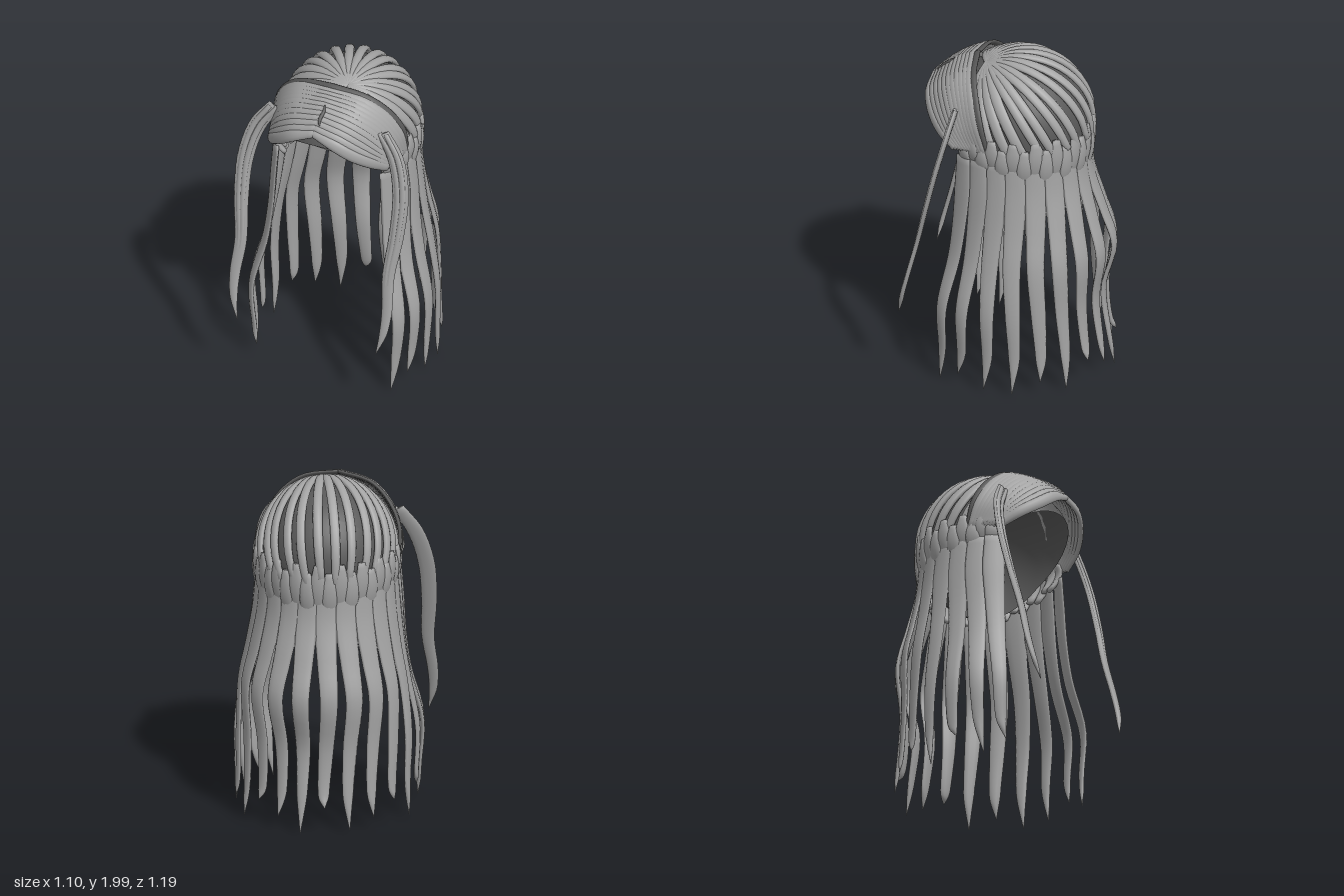
import * as THREE from 'three';

const V = (x, y, z) => new THREE.Vector3(x, y, z);
const lerp = THREE.MathUtils.lerp;
const rad = THREE.MathUtils.degToRad;
const CENTER = V(0, 1.55, -0.02);
const CAP = V(0.38, 0.405, 0.4);

// Linear lookup in a short list of values
function sample(list, t) {
  const f = t * (list.length - 1), i = Math.min(Math.floor(f), list.length - 2);
  return lerp(list[i], list[i + 1], f - i);
}

// Closed flattened strand swept along points; outward(p) gives its thin direction
function strand(points, widths, thick, outward, rings = 18) {
  const curve = new THREE.CatmullRomCurve3(points);
  const sides = 10, pos = [], idx = [];
  for (let r = -1; r <= rings + 1; r++) {
    const t = THREE.MathUtils.clamp(r / rings, 0, 1);
    const end = r < 0 || r > rings;
    const p = curve.getPoint(t), tan = curve.getTangent(t);
    const side = outward(p).cross(tan).normalize();
    const out = tan.clone().cross(side).normalize();
    const w = end ? 0 : sample(widths, t);
    const h = end ? 0 : Math.min(thick, w * 0.8);
    for (let j = 0; j < sides; j++) {
      const a = (j / sides) * Math.PI * 2;
      const q = p.clone().addScaledVector(side, w * Math.cos(a)).addScaledVector(out, h * Math.sin(a));
      pos.push(q.x, q.y, q.z);
    }
  }
  for (let r = 0; r < rings + 2; r++) {
    for (let j = 0; j < sides; j++) {
      const a = r * sides + j, b = r * sides + (j + 1) % sides;
      idx.push(a, b, a + sides, b, b + sides, a + sides);
    }
  }
  const g = new THREE.BufferGeometry();
  g.setAttribute('position', new THREE.Float32BufferAttribute(pos, 3));
  g.setIndex(idx);
  g.computeVertexNormals();
  return g;
}

// Point around the head: angle 0 is the back, positive goes to the left side.
// In front of the ears the outline is fuller, to stay clear of the face.
function around(a, r, y) {
  const s = Math.sin(a), full = Math.cos(a) < 0 ? Math.sign(s) * Math.sqrt(Math.abs(s)) : s;
  return V(full * r, y, -Math.cos(a) * r - 0.015);
}
const fromHead = p => p.clone().sub(CENTER).divide(CAP).normalize();
const fromAxis = p => V(p.x, 0, p.z + 0.015).normalize();

// Fringe path on side s: t = 0 is next to the crown, t = 1 is the front edge
function fringePath(t, s) {
  const bow = Math.sin(t * Math.PI) * 0.025;
  return [
    V(-0.004, lerp(1.935, 1.775, t) + bow, lerp(0.272, 0.495, t)),
    V(lerp(0.2, 0.13, t), lerp(1.895, 1.73, t) + bow, lerp(0.246, 0.5, t)),
    V(lerp(0.32, 0.23, t), lerp(1.8, 1.66, t) + bow, lerp(0.2, 0.46, t)),
    V(lerp(0.39, 0.32, t), lerp(1.67, 1.585, t), lerp(0.15, 0.38, t)),
    V(lerp(0.4, 0.37, t), lerp(1.52, 1.51, t), lerp(0.1, 0.28, t)),
  ].map(p => V(p.x * s, p.y, p.z));
}

export function createModel() {
  const model = new THREE.Group();
  const hair = new THREE.MeshStandardMaterial({ color: 0xa3a3a3 });
  hair.name = 'hairGrey';
  const dark = new THREE.MeshStandardMaterial({ color: 0x585858, side: THREE.DoubleSide });
  dark.name = 'capGrey';
  const section = name => {
    const g = new THREE.Group();
    g.name = name;
    model.add(g);
    return g;
  };
  const add = (parent, name, geometry, material = hair) => {
    const m = new THREE.Mesh(geometry, material);
    m.name = name;
    parent.add(m);
  };

  // Scalp cap: tilted open dome, its brow pushed forward to line the fringe
  const dome = new THREE.SphereGeometry(1, 40, 24, 0, Math.PI * 2, 0, rad(115));
  dome.rotateX(rad(-42)).scale(CAP.x, CAP.y, CAP.z).translate(CENTER.x, CENTER.y, CENTER.z);
  const dp = dome.attributes.position;
  for (let i = 0; i < dp.count; i++) {
    dp.setZ(i, dp.getZ(i) + 0.38 * Math.max(0, dp.getZ(i) - 0.1));
  }
  dome.computeVertexNormals();
  add(model, 'scalpCap', dome, dark);

  // Crown strands fanning back from the whorl with the cap showing between them
  const crown = section('crown');
  const whorl = V(0.07, 0.37, 0.18).divide(CAP).normalize();
  const crownAngles = [];
  for (let a = -60; a <= 60; a += 12) crownAngles.push(a);
  for (let a = 72; a <= 115; a += 12) crownAngles.push(a, -a);
  crownAngles.forEach((deg, i) => {
    const a = rad(deg), low = i % 2 ? -0.14 : -0.06;
    const tip = V(Math.sin(a), low, -Math.cos(a)).normalize();
    const total = whorl.angleTo(tip), pts = [];
    for (let k = 0; k <= 6; k++) {
      const t = k / 6;
      const d = whorl.clone().multiplyScalar(Math.sin((1 - t) * total))
        .addScaledVector(tip, Math.sin(t * total)).divideScalar(Math.sin(total));
      pts.push(d.multiplyScalar(1.065).multiply(CAP).add(CENTER));
    }
    const w = Math.abs(deg) > 60 ? 0.033 : 0.028;
    add(crown, 'crownStrand', strand(pts, [0.016, 0.026, w, w, w, w * 0.8], 0.017, fromHead));
  });

  // Fringe: strands swept from the centre parting down to each side
  const fringe = section('fringe');
  for (const s of [1, -1]) {
    add(fringe, 'crossParting',
      strand(fringePath(-0.13, s), [0.026, 0.026, 0.026, 0.022, 0.014], 0.012, fromHead), dark);
    for (let i = 0; i < 11; i++) {
      add(fringe, 'fringeStrand',
        strand(fringePath(i / 10, s), [0.022, 0.034, 0.036, 0.034, 0.024], 0.016, fromHead));
    }
  }
  // Dark crease where the two halves of the fringe meet
  const crease = [0.4, 0.55, 0.7, 0.85].map((t, k) =>
    fringePath(t, 1)[0].add(V(k % 2 ? 0.028 : 0.02, 0.008, 0.008)));
  add(fringe, 'centreParting', strand(crease, [0.004, 0.01, 0.012, 0.004], 0.008, fromHead), dark);

  // Nape band: short overlapping ribs below the crown, outside the cap
  const nape = section('napeBand');
  for (let i = -14; i <= 14; i++) {
    const a = rad(i * 9), s = Math.abs(i) / 14;
    const bottom = lerp(1.23, 1.38, s * s) + (i % 2 ? 0.03 : 0);
    const rs = [0.422, 0.43, 0.425, 0.405, 0.375];
    const pts = rs.map((r, k) => around(a, r - 0.02 * s, lerp(i % 2 ? 1.6 : 1.55, bottom, k / 4)));
    add(nape, 'napeStrand', strand(pts, [0.024, 0.042, 0.044, 0.04, 0.026], 0.015, fromAxis, 10));
  }

  // Long wavy locks hanging around the back and sides, right to left
  const locks = section('hangingLocks');
  const backR = [0.405, 0.425, 0.5, 0.565, 0.5, 0.53, 0.565];
  const sideR = [0.4, 0.415, 0.43, 0.46, 0.535, 0.52, 0.51];
  const tips = [0.1, 0.02, 0.15, 0.01, 0.15, 0.08, 0.02, 0.16, 0.005,
    0.09, 0.16, 0.02, 0.09, 0.01, 0.02, 0.08, 0.01];
  tips.forEach((tip, n) => {
    const i = n - 8, s = Math.min(1, Math.abs(i) / 7);
    const heights = [1.45, 1.25, 1.02, 0.8, 0.5, 0.22, tip];
    const pts = heights.map((y, k) => {
      const spread = 1 + lerp(-0.13, 0.06, s) * Math.max(0, k - 3) / 3;
      const a = rad(i * 16) * spread - Math.sign(i) * 0.02 * Math.sin(k * 1.6);
      return around(a, lerp(backR[k], sideR[k], s), y);
    });
    add(locks, 'hangingLock',
      strand(pts, [0.058, 0.066, 0.058, 0.052, 0.044, 0.032, 0.002], 0.014, fromAxis, 28));
  });

  // Pair of long face-framing locks, each a main ribbon with two raised ridges
  const framing = section('faceLocks');
  const slope = V(0, 0.24, 0.97);
  for (const s of [1, -1]) {
    const ribbon = (dx, dz, w, thick) => strand([
      [0.345, 1.74, 0.28], [0.44, 1.6, 0.31], [0.492, 1.4, 0.36], [0.492, 1.15, 0.42],
      [0.468, 0.9, 0.48], [0.482, 0.7, 0.53], [0.475, 0.56, 0.565], [0.44, 0.42, 0.595],
    ].map(([x, y, z], k) => V((x + dx * (1 - k / 7)) * s, y, z + dz * (1 - k / 7))),
    [0.8, 1, 1, 0.9, 0.75, 0.65, 0.5, 0.04].map(f => f * w), thick, () => slope.clone(), 30);
    add(framing, 'faceLock', ribbon(0, 0, 0.052, 0.014));
    for (const dx of [-0.022, 0.022]) add(framing, 'faceLockRidge', ribbon(dx, 0.006, 0.02, 0.014));
  }

  return model;
}
